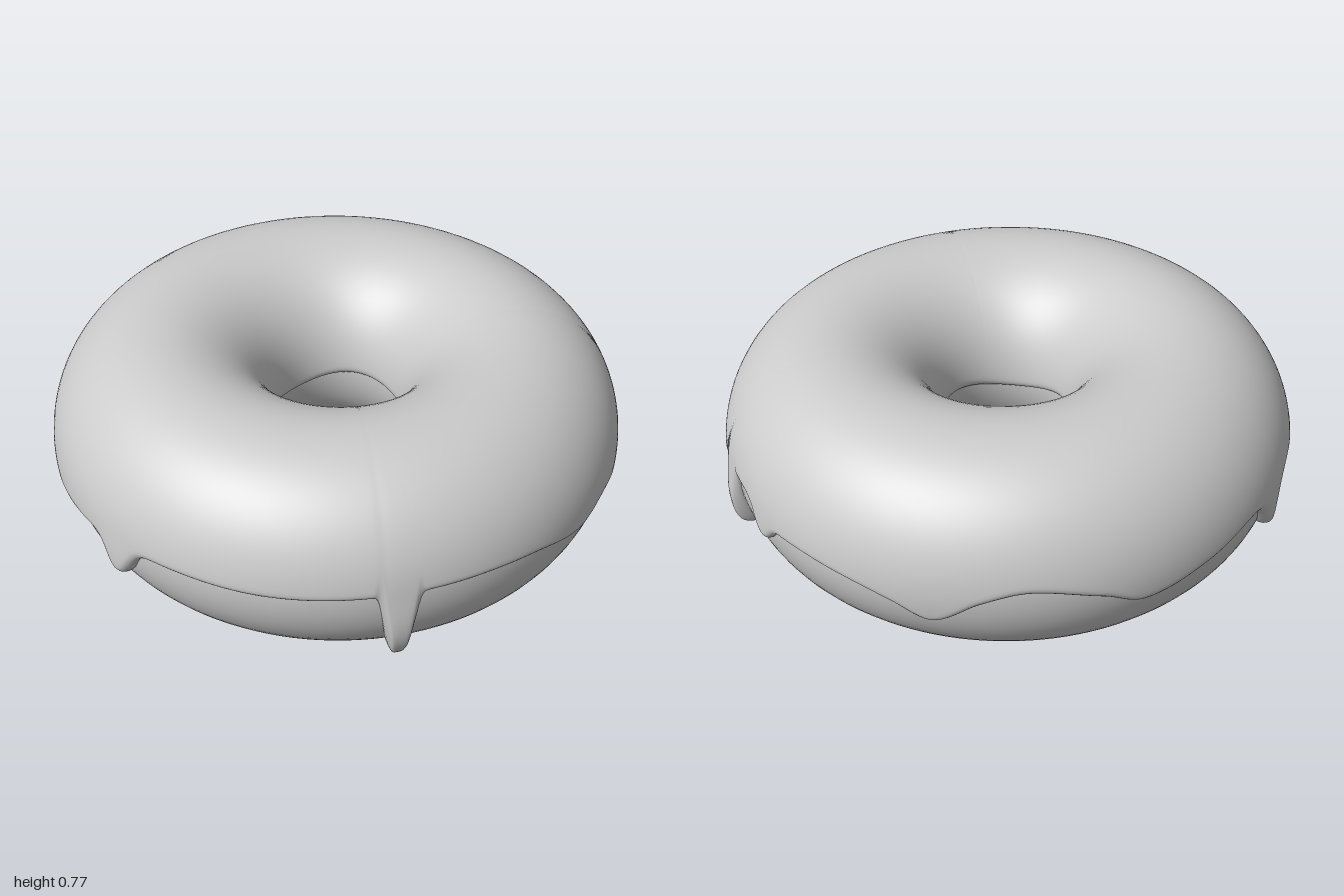
import * as THREE from 'three';

// Elliptical dough section: ring radius, half width, half height
const RING = 0.61, RX = 0.36, RY = 0.37;
const DEG = Math.PI / 180;

// Height of the icing rim around the ring: [degrees from +x toward +z, y]
const RIM = [
  [-83, 0.31], [-75, 0.365], [-62, 0.41], [-53, 0.37], [-44, 0.28], [-36, 0.33], [-28, 0.36],
  [-17, 0.375], [-8, 0.375], [5, 0.41], [20, 0.39], [36, 0.32], [50, 0.358], [61, 0.34],
  [75, 0.39], [90, 0.405], [128, 0.39], [149, 0.385], [171, 0.345], [187, 0.315], [200, 0.32],
  [214, 0.375], [238, 0.395], [250, 0.385], [263, 0.345],
];
// Drips: angle, length, half width in degrees, sharpness, bulge
const DRIPS = [
  [14, 0.245, 3.3, 4, 0.035], [103, 0.275, 3.2, 4, 0.035], [-3.5, 0.075, 3.6, 2.5, 0.015],
  [160, 0.12, 4.5, 2.5, 0.025], [239, 0.15, 4.2, 1.7, 0.02],
];

const wrap = (d) => ((d + 180) % 360 + 360) % 360 - 180;
const dripShape = (deg, [at, , width, power]) => Math.exp(-Math.pow(Math.abs(wrap(deg - at)) / width, power));

// Smooth periodic curve through the rim points
function rimBase(deg) {
  const n = RIM.length;
  const d = ((deg - RIM[0][0]) % 360 + 360) % 360 + RIM[0][0];
  const at = (k) => [RIM[(k + n) % n][0] + 360 * Math.floor(k / n), RIM[(k + n) % n][1]];
  let k = 0;
  while (k < n - 1 && at(k + 1)[0] <= d) k++;
  const [p, a, b, q] = [at(k - 1), at(k), at(k + 1), at(k + 2)];
  const w = b[0] - a[0], t = (d - a[0]) / w;
  const ma = (b[1] - p[1]) / (b[0] - p[0]) * w, mb = (q[1] - a[1]) / (q[0] - a[0]) * w;
  const t2 = t * t, t3 = t2 * t;
  return (2 * t3 - 3 * t2 + 1) * a[1] + (t3 - 2 * t2 + t) * ma + (3 * t2 - 2 * t3) * b[1] + (t3 - t2) * mb;
}

const rimHeight = (deg) => DRIPS.reduce((y, drip) => y - drip[1] * dripShape(deg, drip), rimBase(deg));
const bulge = (deg) => DRIPS.reduce((sum, drip) => sum + drip[4] * dripShape(deg, drip), 0);

// Quarter-round falloff of the icing at its edge
const roundOff = (distance, radius) => {
  const k = 1 - Math.min(1, Math.max(0, distance / radius));
  return Math.sqrt(1 - k * k);
};

function doughGeometry() {
  const points = [];
  for (let i = 0; i <= 72; i++) {
    const phi = Math.PI / 2 + i / 72 * Math.PI * 2;
    points.push(new THREE.Vector2(RING + RX * Math.cos(phi), RY + RY * Math.sin(phi)));
  }
  return new THREE.LatheGeometry(points, 128);
}

// Icing shell: one cross-section per angle, from inside the hole over the top to the rim
function icingGeometry(columns = 900, rows = 60) {
  const positions = [], index = [];
  for (let i = 0; i < columns; i++) {
    const deg = i / columns * 360, a = deg * DEG;
    const rim = rimHeight(deg);
    const slope = (rimHeight(deg + 0.3) - rimHeight(deg - 0.3)) / (0.6 * DEG * 0.97);
    const steep = Math.sqrt(1 + slope * slope);
    const phiOut = Math.asin((rim - RY) / RY);
    const phiIn = Math.PI + 0.02 + 0.04 * Math.sin(3 * a + 1);
    const base = 0.026 + 0.006 * Math.cos(a - 225 * DEG);
    const extra = bulge(deg);
    for (let j = 0; j <= rows; j++) {
      const s = (1 - Math.cos(Math.PI * j / rows)) / 2;
      const phi = phiIn + (phiOut - phiIn) * s;
      const y = RY + RY * Math.sin(phi);
      const low = phi < Math.PI / 2 ? 1 - THREE.MathUtils.smoothstep(y, 0.2, 0.42) : 0;
      const full = base + extra * low;
      const edge = roundOff((phi - phiOut) * 0.365 / steep, full) * roundOff((phiIn - phi) * 0.365, 0.03);
      const t = -0.003 + (full + 0.003) * edge;
      const r = RING + (RX + t) * Math.cos(phi);
      positions.push(r * Math.cos(a), y + t * Math.sin(phi), r * Math.sin(a));
    }
  }
  const id = (i, j) => (i % columns) * (rows + 1) + j;
  for (let i = 0; i < columns; i++) {
    for (let j = 0; j < rows; j++) {
      index.push(id(i, j), id(i + 1, j), id(i, j + 1), id(i + 1, j), id(i + 1, j + 1), id(i, j + 1));
    }
  }
  const geometry = new THREE.BufferGeometry();
  geometry.setAttribute('position', new THREE.Float32BufferAttribute(positions, 3));
  geometry.setIndex(index);
  geometry.computeVertexNormals();
  return geometry;
}

export function createModel() {
  const group = new THREE.Group();
  group.name = 'donut';
  const material = new THREE.MeshStandardMaterial({ color: 0xcccccc });
  const add = (name, geometry) => {
    const mesh = new THREE.Mesh(geometry, material);
    mesh.name = name;
    group.add(mesh);
  };
  add('dough', doughGeometry());
  add('icing', icingGeometry());
  return group;
}
